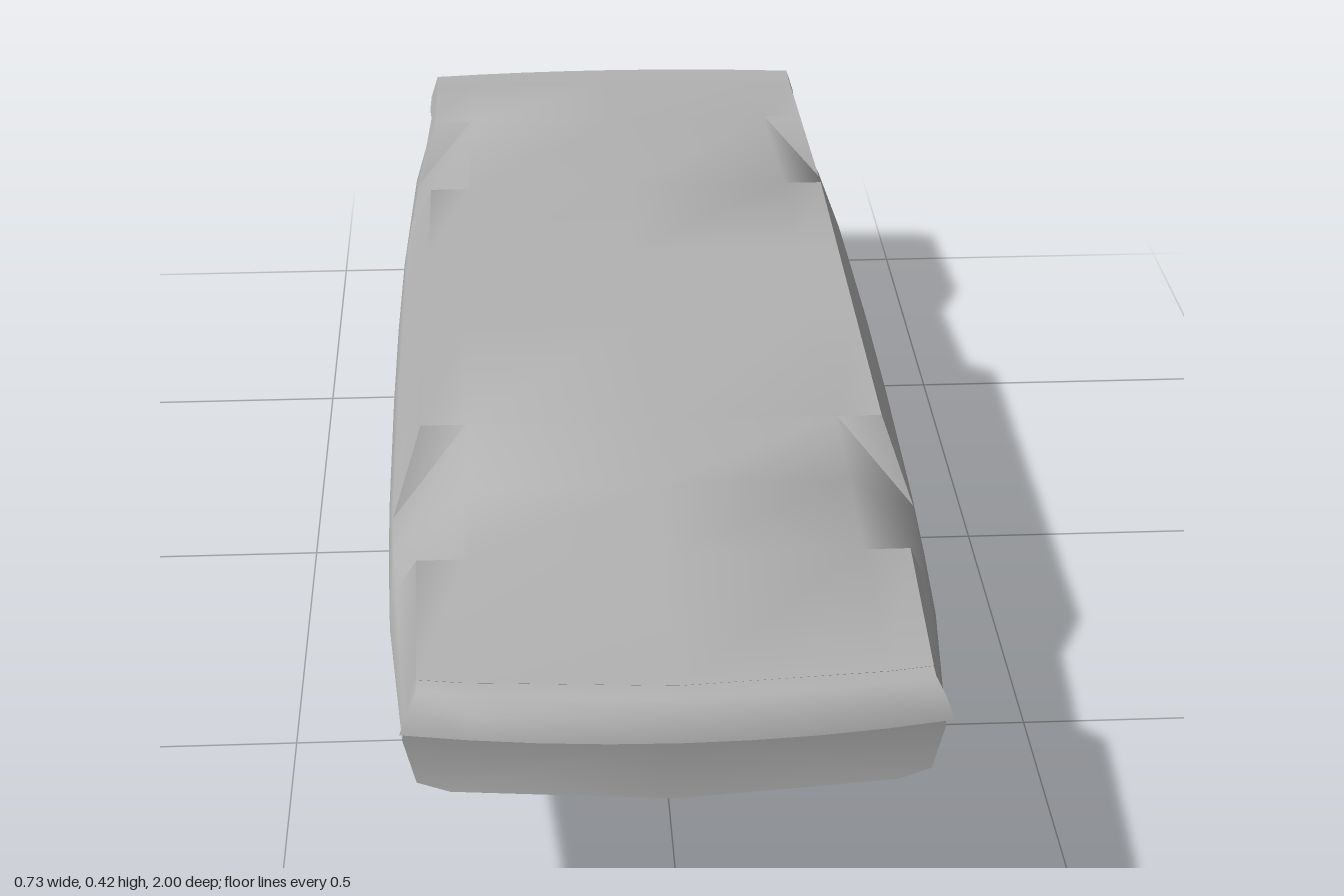
import * as THREE from 'three';
import { toCreasedNormals } from 'three/addons/utils/BufferGeometryUtils.js';

const grey = new THREE.MeshStandardMaterial({ color: 0xb2b2b2 });
grey.name = 'grey';

// Skin a list of closed rings, with a fan cap on each end
function loft(rings, capBulge = 0) {
  const pos = [];
  const tri = (a, b, c) => {
    const ab = b.clone().sub(a), ac = c.clone().sub(a);
    if (ab.cross(ac).length() > 1e-7) pos.push(...a, ...b, ...c);
  };
  const n = rings[0].length;
  for (let r = 0; r < rings.length - 1; r++) {
    const a = rings[r], b = rings[r + 1];
    for (let i = 0; i < n; i++) {
      const j = (i + 1) % n;
      tri(a[i], b[i], a[j]);
      tri(a[j], b[i], b[j]);
    }
  }
  const cap = (ring, flip, dz) => {
    const c = ring.reduce((s, p) => s.add(p), new THREE.Vector3()).divideScalar(n);
    c.z += dz;
    for (let i = 0; i < n; i++) {
      const p = ring[i], q = ring[(i + 1) % n];
      flip ? tri(c, q, p) : tri(c, p, q);
    }
  };
  cap(rings[0], false, capBulge);
  cap(rings[rings.length - 1], true, -capBulge);
  const g = new THREE.BufferGeometry();
  g.setAttribute('position', new THREE.Float32BufferAttribute(pos, 3));
  return toCreasedNormals(g, 1.06);
}

// One body section; arch = the wheel notch cuts the corner, archZ = z of its outer point
function section({ z, yc, yb, bx, sx, sy, wx, tx = 0.31, ty, arch = false, archZ = z, bow = 0 }) {
  const wy = 0.29;
  const ay = 0.31, ax = wx - (wx - tx) * (ay - wy) / (ty - wy);
  const half = [
    [bx, yb, z], [sx, sy, z], [wx, wy, z], [ax, ay, archZ],
    [arch ? 0.25 : tx, ty, z], [0.25, ty, z],
  ];
  const pts = [[0, yc, z], ...half, [0, ty, z], ...half.map(([x, y, d]) => [-x, y, d]).reverse()];
  return pts.map(([x, y, d]) => new THREE.Vector3(x, y, d - bow * (x / 0.32) ** 2));
}

// Rounded lip running across one end of the body
function bumper(profile, bow) {
  const rings = [];
  for (let i = 0; i <= 8; i++) {
    const t = 1 - i / 4;
    rings.push(profile.map(([z, y, w]) => new THREE.Vector3(w * t, y, z - bow * t * t)));
  }
  return loft(rings);
}

// Box narrowed toward its lower face
function taperedBox(w, h, d, sx, sz) {
  const g = new THREE.BoxGeometry(w, h, d);
  const p = g.attributes.position;
  for (let i = 0; i < p.count; i++) {
    if (p.getY(i) < 0) p.setXYZ(i, p.getX(i) * sx, p.getY(i), p.getZ(i) * sz);
  }
  g.computeVertexNormals();
  return g;
}

export function createModel() {
  const group = new THREE.Group();
  const add = (name, geometry, x = 0, y = 0, z = 0) => {
    const m = new THREE.Mesh(geometry, grey);
    m.name = name;
    m.position.set(x, y, z);
    group.add(m);
  };
  const cx = -0.008;

  // Overturned car shell, from the +z end to the -z end
  const s67 = { z: 0.67, archZ: 0.61, yc: 0.2, yb: 0.207, bx: 0.27, sx: 0.325, sy: 0.222, wx: 0.347, ty: 0.39 };
  const s37 = { z: 0.37, archZ: 0.43, yc: 0.066, yb: 0.07, bx: 0.245, sx: 0.328, sy: 0.2, wx: 0.357, ty: 0.418 };
  const s41 = { z: -0.41, archZ: -0.475, yc: 0.178, yb: 0.185, bx: 0.27, sx: 0.326, sy: 0.203, wx: 0.357, ty: 0.418 };
  const s74 = { z: -0.74, archZ: -0.68, yc: 0.2, yb: 0.205, bx: 0.27, sx: 0.322, sy: 0.222, wx: 0.345, ty: 0.396 };
  const cut = (s) => ({ ...s, arch: true });
  const stations = [
    { z: 0.945, yc: 0.216, yb: 0.22, bx: 0.27, sx: 0.31, sy: 0.23, wx: 0.325, tx: 0.305, ty: 0.378, bow: 0.03 },
    s67, cut(s67),
    { z: 0.52, yc: 0.19, yb: 0.198, bx: 0.27, sx: 0.327, sy: 0.212, wx: 0.353, ty: 0.404, arch: true },
    cut(s37), s37,
    { z: 0.06, yc: 0.054, yb: 0.058, bx: 0.242, sx: 0.33, sy: 0.2, wx: 0.36, ty: 0.418 },
    { z: -0.17, yc: 0.058, yb: 0.062, bx: 0.242, sx: 0.33, sy: 0.2, wx: 0.36, ty: 0.418 },
    s41, cut(s41), cut(s74), s74,
    { z: -0.95, yc: 0.216, yb: 0.22, bx: 0.27, sx: 0.308, sy: 0.23, wx: 0.325, tx: 0.31, ty: 0.384, bow: -0.015 },
  ];
  add('carBody', loft(stations.map(section), 0.01), cx);

  // Lips at both ends: [z, y, half width]
  add('rearBumper', bumper([
    [0.935, 0.318, 0.32], [0.935, 0.378, 0.305], [0.97, 0.377, 0.305], [0.99, 0.362, 0.315], [1.0, 0.335, 0.325],
  ], 0.032), cx);
  add('frontBumper', bumper([
    [-0.94, 0.318, 0.32], [-0.985, 0.327, 0.325], [-1.0, 0.347, 0.322], [-1.0, 0.384, 0.31], [-0.94, 0.384, 0.31],
  ], -0.018), cx);

  // Bar across the roof, on which the shell rests
  add('roofBar', taperedBox(0.48, 0.065, 0.1, 0.925, 0.8), cx, 0.0325, 0.012);

  // Single side mirror
  add('sideMirror', taperedBox(0.05, 0.035, 0.03, 0.7, 0.7), 0.34, 0.168, -0.34);
  return group;
}
